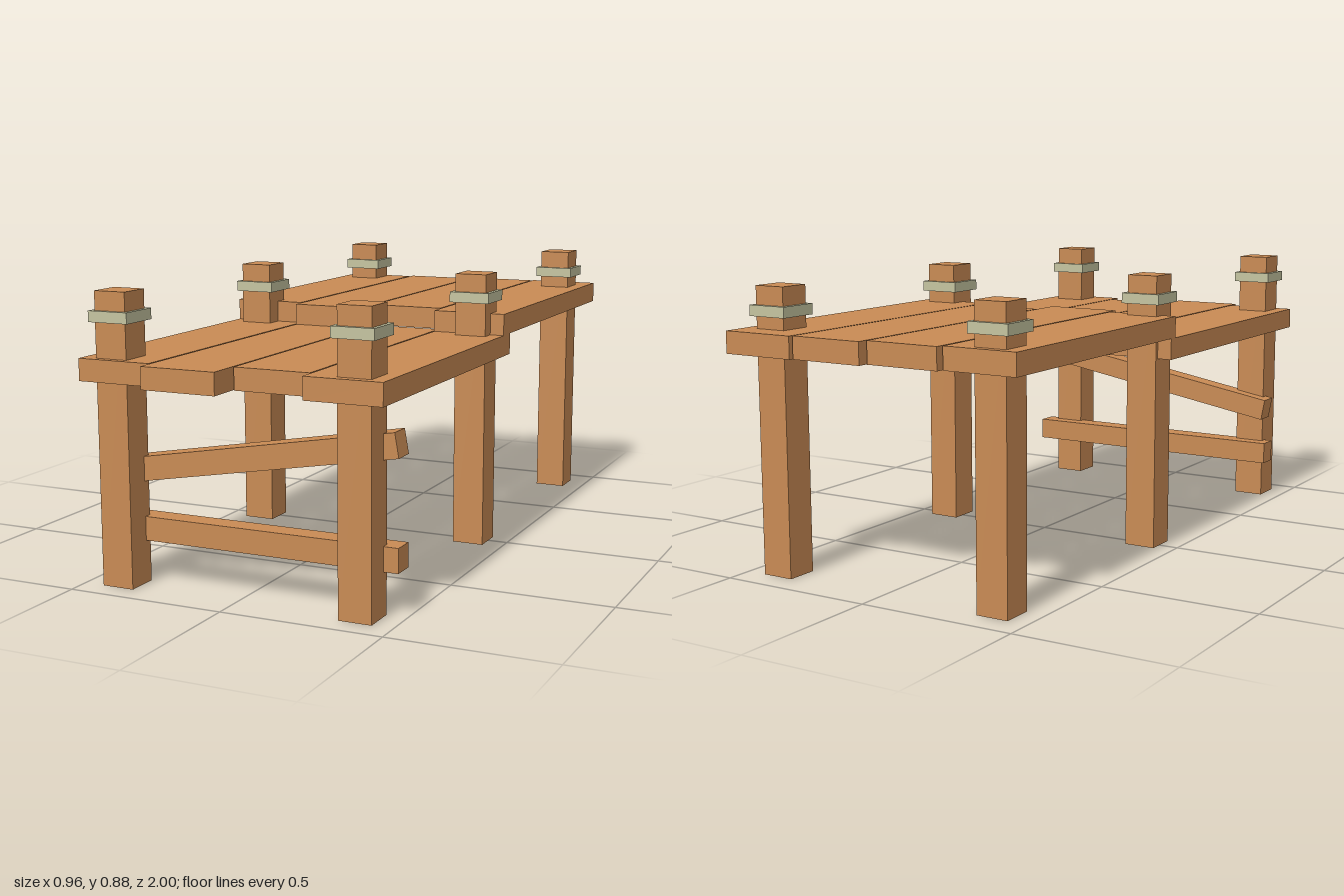
import * as THREE from 'three';

export function createModel() {
  const model = new THREE.Group();
  model.name = 'dock';

  const wood = new THREE.MeshStandardMaterial({ color: 0xc98b54 });
  wood.name = 'wood';
  const rope = new THREE.MeshStandardMaterial({ color: 0xc5c4a0 });
  rope.name = 'rope';

  function add(name, geometry, material, x, y, z) {
    const mesh = new THREE.Mesh(geometry, material);
    mesh.name = name;
    mesh.position.set(x, y, z);
    model.add(mesh);
    return mesh;
  }

  // Box given by its extents along each axis
  function beam(name, [x0, x1], [y0, y1], [z0, z1]) {
    const geometry = new THREE.BoxGeometry(x1 - x0, y1 - y0, z1 - z0);
    return add(name, geometry, wood, (x0 + x1) / 2, (y0 + y1) / 2, (z0 + z1) / 2);
  }

  // Square rope band with an opening for the post
  const square = (path, h) => path.moveTo(-h, -h).lineTo(h, -h).lineTo(h, h).lineTo(-h, h).closePath();
  const band = square(new THREE.Shape(), 0.065);
  band.holes.push(square(new THREE.Path(), 0.053));
  const bandGeometry = new THREE.ExtrudeGeometry(band, { depth: 0.033, bevelEnabled: false });
  bandGeometry.rotateX(-Math.PI / 2);

  // Three pairs of posts, each with a rope band near the top
  for (const z of [0.878, 0.008, -0.865]) {
    for (const side of [-1, 1]) {
      const x = side * 0.385;
      beam('post', [x - 0.051, x + 0.051], [0, 0.878], [z - 0.051, z + 0.051]);
      add('ropeBand', bandGeometry, rope, x, 0.788, z);
    }
  }

  // Deck planks: lower front row and raised back row with uneven ends
  const columns = [[-0.483, -0.247], [-0.241, -0.004], [0.001, 0.238], [0.243, 0.481]];
  const frontEnds = [[-0.03, 0.95], [-0.03, 1.0], [-0.04, 0.9], [-0.05, 0.955]];
  const backEnds = [[-0.94, 0.0], [-0.96, 0.047], [-0.99, -0.05], [-1.0, 0.012]];
  columns.forEach((column, i) => {
    beam('frontPlank', column, [0.615, 0.682], frontEnds[i]);
    beam('backPlank', column, [0.682, 0.75], backEnds[i]);
  });

  // Level and sloping braces behind the front posts
  beam('levelBrace', [-0.464, 0.481], [0.13, 0.203], [0.78, 0.85]);
  const slope = beam('slopingBrace', [-0.463, 0.482], [0.372, 0.445], [0.78, 0.85]);
  slope.rotation.z = THREE.MathUtils.degToRad(10);

  return model;
}
